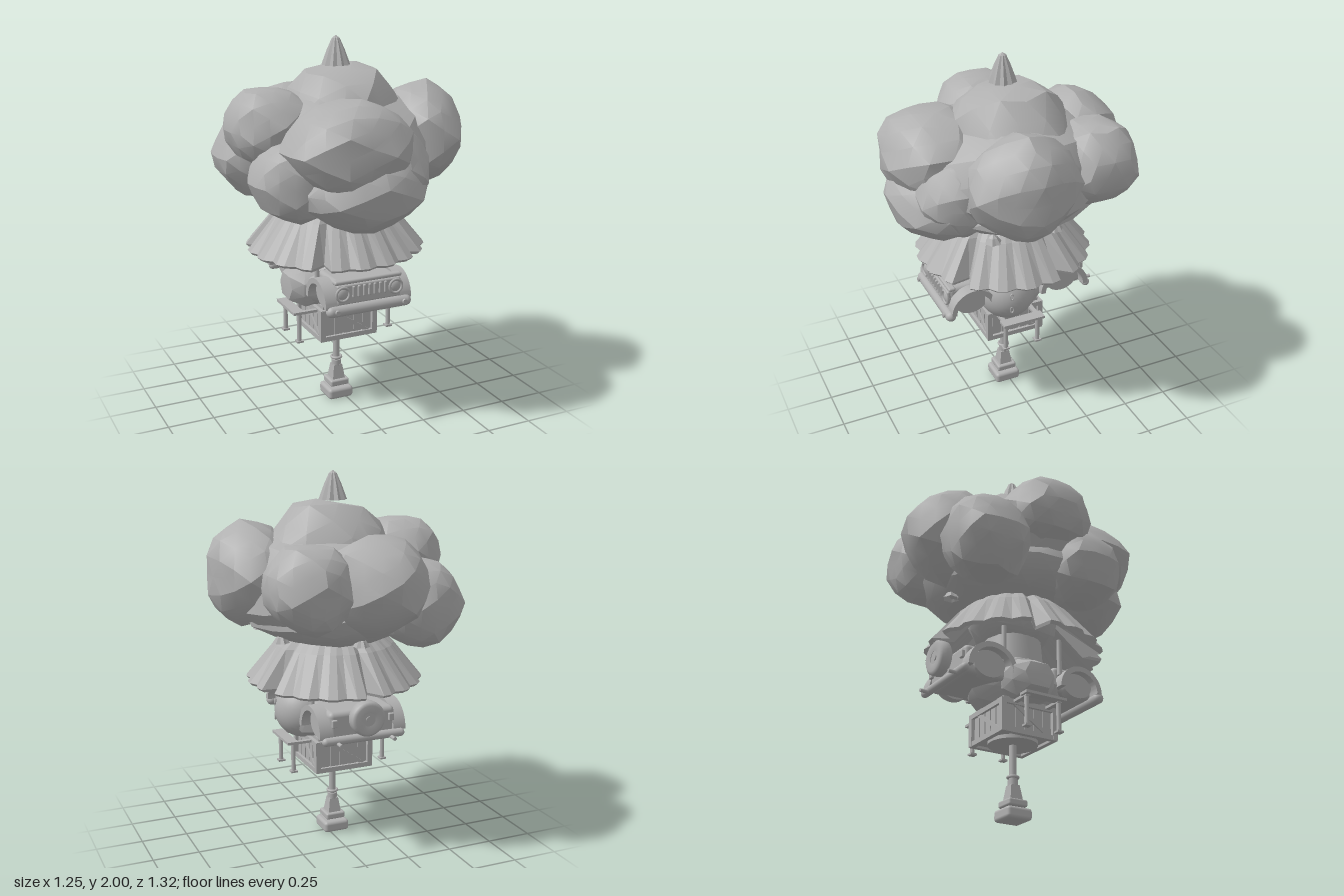
import * as THREE from 'three';
import { toCreasedNormals } from 'three/addons/utils/BufferGeometryUtils.js';
import { RoundedBoxGeometry } from 'three/addons/geometries/RoundedBoxGeometry.js';

const clay = new THREE.MeshStandardMaterial({ color: 0xb0b0b0, side: THREE.DoubleSide });
clay.name = 'clay grey';

function add(parent, name, geometry, x = 0, y = 0, z = 0) {
  const mesh = new THREE.Mesh(geometry, clay);
  mesh.name = name;
  mesh.position.set(x, y, z);
  parent.add(mesh);
  return mesh;
}
const box = (w, h, d) => new THREE.BoxGeometry(w, h, d);
const soft = (w, h, d, r) => new RoundedBoxGeometry(w, h, d, 3, r);
const rod = (r, h, r2 = r, n = 20) => new THREE.CylinderGeometry(r2, r, h, n);

// Sphere with uneven, chiselled bulges
function lump(rx, ry, rz, seed, rough = 0.1, detail = 2) {
  const g = new THREE.IcosahedronGeometry(1, detail);
  const p = g.attributes.position, v = new THREE.Vector3();
  for (let i = 0; i < p.count; i++) {
    v.fromBufferAttribute(p, i).normalize();
    const wave = Math.sin(v.x * 5.1 + seed) * Math.sin(v.y * 5.7 + seed * 2.3) + Math.sin(v.z * 6.3 + seed * 1.7) * 0.5;
    const k = 1 + rough * wave * 0.6;
    p.setXYZ(i, v.x * rx * k, v.y * ry * k, v.z * rz * k);
  }
  return toCreasedNormals(g, 0.44);
}

// Turned profile whose spokes are pulled in to make pleats; pull(spoke) gives the factor
function pleated(points, sides, pull) {
  const g = new THREE.LatheGeometry(points.map(([r, y]) => new THREE.Vector2(r, y)), sides);
  const p = g.attributes.position, n = points.length;
  for (let i = 0; i < p.count; i++) {
    const k = pull(Math.floor(i / n) % sides, i % n);
    p.setX(i, p.getX(i) * k);
    p.setZ(i, p.getZ(i) * k);
  }
  return toCreasedNormals(g, 0.15);
}

function buildStand(g) {
  add(g, 'standFoot', soft(0.145, 0.062, 0.145, 0.018), 0, 0.036, 0);
  add(g, 'standStep', soft(0.11, 0.036, 0.11, 0.01), 0, 0.093, 0);
  const cone = rod(0.052, 0.08, 0.035, 4).rotateY(Math.PI / 4);
  add(g, 'standTaper', toCreasedNormals(cone, 0.5), 0, 0.15, 0);
  add(g, 'standCollar', rod(0.026, 0.035), 0, 0.2, 0);
  add(g, 'pole', rod(0.019, 0.24), 0, 0.3, 0);
  add(g, 'poleRing', new THREE.TorusGeometry(0.026, 0.008, 8, 24).rotateX(Math.PI / 2), 0, 0.232, 0);
  add(g, 'crateDisc', rod(0.13, 0.02, 0.13, 32), 0, 0.41, 0);
}

// Framed crate with slats and a diagonal brace on each side
function buildCrate(g) {
  add(g, 'crateCore', box(0.29, 0.18, 0.29), 0, 0.51, 0);
  for (let i = 0; i < 4; i++) {
    const side = new THREE.Group();
    side.name = 'crateSide';
    side.rotation.y = i * Math.PI / 2;
    g.add(side);
    for (const y of [0.42, 0.57]) add(side, 'crateRail', box(0.33, 0.026, 0.026), 0, y, 0.152);
    add(side, 'cratePost', box(0.028, 0.17, 0.028), 0.152, 0.495, 0.152);
    for (let k = -2; k <= 2; k++) add(side, 'crateSlat', box(0.045, 0.14, 0.006), k * 0.054, 0.495, 0.147);
    add(side, 'crateBrace', box(0.25, 0.02, 0.014), 0.01, 0.5, 0.15).rotation.z = -0.6;
  }
}

// Narrow balcony on each side, standing on two legs with flat feet
function buildBalconies(g) {
  for (const s of [-1, 1]) {
    add(g, 'balconyDeck', box(0.06, 0.014, 0.24), s * 0.275, 0.578, 0.01);
    for (const z of [0.105, -0.085]) {
      add(g, 'balconyLeg', rod(0.012, 0.17), s * 0.265, 0.495, z);
      add(g, 'balconyFoot', box(0.036, 0.01, 0.036), s * 0.265, 0.413, z);
      add(g, 'balconyBeam', box(0.12, 0.014, 0.024), s * 0.22, 0.572, z);
    }
  }
}

// Rounded room in the middle
function buildRoom(g) {
  add(g, 'rockyBody', lump(0.26, 0.135, 0.25, 1.2, 0.12, 1), 0, 0.69, 0);
  add(g, 'roundPod', new THREE.SphereGeometry(0.155, 32, 24), 0.155, 0.715, 0.05);
  add(g, 'sidePod', lump(0.15, 0.12, 0.16, 3.1, 0.12, 1), -0.16, 0.69, -0.02);
  add(g, 'upperRoom', rod(0.17, 0.26, 0.15, 24), 0, 0.87, 0);
  add(g, 'upperDome', lump(0.18, 0.12, 0.17, 2, 0.06), 0, 0.78, 0);
  for (const y of [0.68, 0.76]) {
    const ring = add(g, 'podHandle', new THREE.TorusGeometry(0.018, 0.005, 8, 16), 0.302, y, 0.085);
    ring.rotation.y = Math.PI / 2 - 0.25;
    ring.scale.x = 0.5;
  }
  for (const sx of [-1, 1]) for (const sz of [-1, 1])
    add(g, 'roofPost', rod(0.013, 0.2), sx * 0.19, 0.86, sz * 0.17);
}

// Arched mudguard seen from the side
function mudguard(r, width) {
  const s = new THREE.Shape();
  s.absarc(0, 0, r, 0, Math.PI, false);
  s.absarc(0, 0, r - 0.028, Math.PI, 0, true);
  const g = new THREE.ExtrudeGeometry(s, { depth: width, bevelEnabled: false, curveSegments: 20 });
  g.translate(0, 0, -width / 2).rotateY(Math.PI / 2);
  return toCreasedNormals(g, 0.5);
}

// Vehicle running front to back through the room
function buildVehicle(g) {
  add(g, 'bonnet', soft(0.35, 0.14, 0.25, 0.025), 0, 0.745, 0.265);
  add(g, 'tail', soft(0.37, 0.15, 0.25, 0.025), 0, 0.74, -0.265);
  add(g, 'bonnetLip', soft(0.38, 0.022, 0.04, 0.01), 0, 0.815, 0.375);
  add(g, 'grille', soft(0.36, 0.105, 0.022, 0.01), 0, 0.752, 0.39);
  for (let i = 0; i < 7; i++) add(g, 'grilleBar', soft(0.016, 0.062, 0.016, 0.006), -0.09 + i * 0.03, 0.765, 0.402);
  for (const s of [-1, 1]) {
    add(g, 'headlight', new THREE.SphereGeometry(0.032, 20, 12), s * 0.15, 0.758, 0.392).scale.z = 0.5;
    add(g, 'headlightRim', new THREE.TorusGeometry(0.036, 0.007, 8, 24), s * 0.15, 0.758, 0.402);
    for (const [z, r] of [[0.272, 0.128], [-0.26, 0.142]]) {
      add(g, 'mudguard', mudguard(r, 0.07), s * 0.207, 0.685, z);
      const wheel = add(g, 'wheel', rod(0.09, 0.05, 0.09, 32), s * 0.175, 0.725, z);
      wheel.rotation.z = Math.PI / 2;
      wheel.scale.x = 0.8;
    }
    add(g, 'bumperLamp', rod(0.013, 0.02).rotateX(Math.PI / 2), s * 0.19, 0.675, 0.425);
    add(g, 'tailLamp', soft(0.03, 0.04, 0.02, 0.005), s * 0.16, 0.76, -0.395);
    add(g, 'rearHook', rod(0.01, 0.05).rotateX(Math.PI / 2), s * 0.15, 0.66, -0.44);
  }
  for (const [name, z] of [['frontBumper', 0.397], ['rearBumper', -0.405]]) {
    const r = z > 0 ? 0.029 : 0.022;
    add(g, name, new THREE.CapsuleGeometry(r, 0.42, 6, 16).rotateZ(Math.PI / 2), 0, 0.672, z);
  }
  // Spare wheel on the tail
  const tyre = [[0.035, -0.03], [0.075, -0.036], [0.091, -0.024], [0.093, 0], [0.091, 0.024], [0.075, 0.036], [0.035, 0.03]];
  const spare = new THREE.LatheGeometry(tyre.map(([r, y]) => new THREE.Vector2(r, y)), 32).rotateX(Math.PI / 2);
  add(g, 'spareTyre', spare, 0, 0.785, -0.44);
  add(g, 'spareDisc', rod(0.045, 0.045, 0.045, 24).rotateX(Math.PI / 2), 0, 0.785, -0.44);
  add(g, 'spareHub', rod(0.015, 0.06).rotateX(Math.PI / 2), 0, 0.785, -0.438);
}

// Skirt roof in five broad ribbed lobes parted by deep folds
function buildRoof(g) {
  const skirt = [[0.19, 1.13], [0.46, 0.885], [0.475, 0.9], [0.32, 1.09], [0.24, 1.16]];
  const fold = (spoke, row) => {
    const low = row === 1 || row === 2 ? 1 : 0.5;
    const k = spoke % 12;
    return 1 - low * (k === 0 ? 0.2 : k % 3 === 0 ? 0.05 : 0);
  };
  add(g, 'skirtRoof', pleated(skirt, 60, fold), -0.008, 0, 0).rotation.y = 0.68;
  add(g, 'trunk', lump(0.25, 0.2, 0.25, 0.7, 0.05), 0, 1.12, 0);
}

// Clustered crown: centre, then radii
const CROWN = [
  ['crownCore', 0, 1.42, 0, 0.5, 0.33, 0.5],
  ['crownDome', 0, 1.49, -0.01, 0.36, 0.38, 0.35],
  ['crownUnderside', -0.02, 1.29, 0, 0.46, 0.2, 0.46],
  ['frontClump', -0.13, 1.49, 0.37, 0.33, 0.24, 0.28],
  ['frontLowClump', -0.05, 1.29, 0.39, 0.33, 0.22, 0.25],
  ['frontRightLowClump', -0.36, 1.32, 0.22, 0.22, 0.21, 0.23],
  ['frontLeftLowClump', 0.12, 1.35, 0.33, 0.2, 0.22, 0.22],
  ['rightClump', -0.4, 1.55, -0.01, 0.225, 0.21, 0.25],
  ['leftClump', 0.4, 1.48, 0.1, 0.23, 0.27, 0.28],
  ['backLeftClump', 0.25, 1.46, -0.36, 0.235, 0.23, 0.23],
  ['backClump', -0.1, 1.46, -0.4, 0.26, 0.25, 0.26],
  ['backRightClump', -0.35, 1.35, -0.34, 0.23, 0.24, 0.23],
];

function buildCrown(g) {
  CROWN.forEach(([name, x, y, z, rx, ry, rz], i) => add(g, name, lump(rx, ry, rz, i * 1.9 + 0.5), x, y, z));
  // Pleated cap at the very top and small pleated awnings below
  const cap = [[0.075, 1.85], [0.045, 1.93], [0.02, 1.985], [0, 2]];
  add(g, 'crownCap', pleated(cap, 20, (spoke) => (spoke % 2 ? 0.85 : 1)), -0.035, 0, 0.015);
  const awning = [[0.045, -0.02], [0.025, 0.01], [0, 0.03]];
  for (const [x, z] of [[0.3, 0.22], [0.31, -0.12], [-0.03, -0.36]])
    add(g, 'awning', pleated(awning, 12, (spoke) => (spoke % 2 ? 0.8 : 1)), x, 1.165, z);
}

export function createModel() {
  const model = new THREE.Group();
  model.name = 'treehouse';
  const part = (name, build, x = -0.035, z = 0.016) => {
    const g = new THREE.Group();
    g.name = name;
    g.position.set(x, 0, z);
    build(g);
    model.add(g);
  };
  part('stand', buildStand);
  part('crate', buildCrate);
  part('balconies', buildBalconies);
  part('room', buildRoom);
  part('vehicle', buildVehicle);
  part('roof', buildRoof);
  part('crown', buildCrown, 0, 0);
  return model;
}
